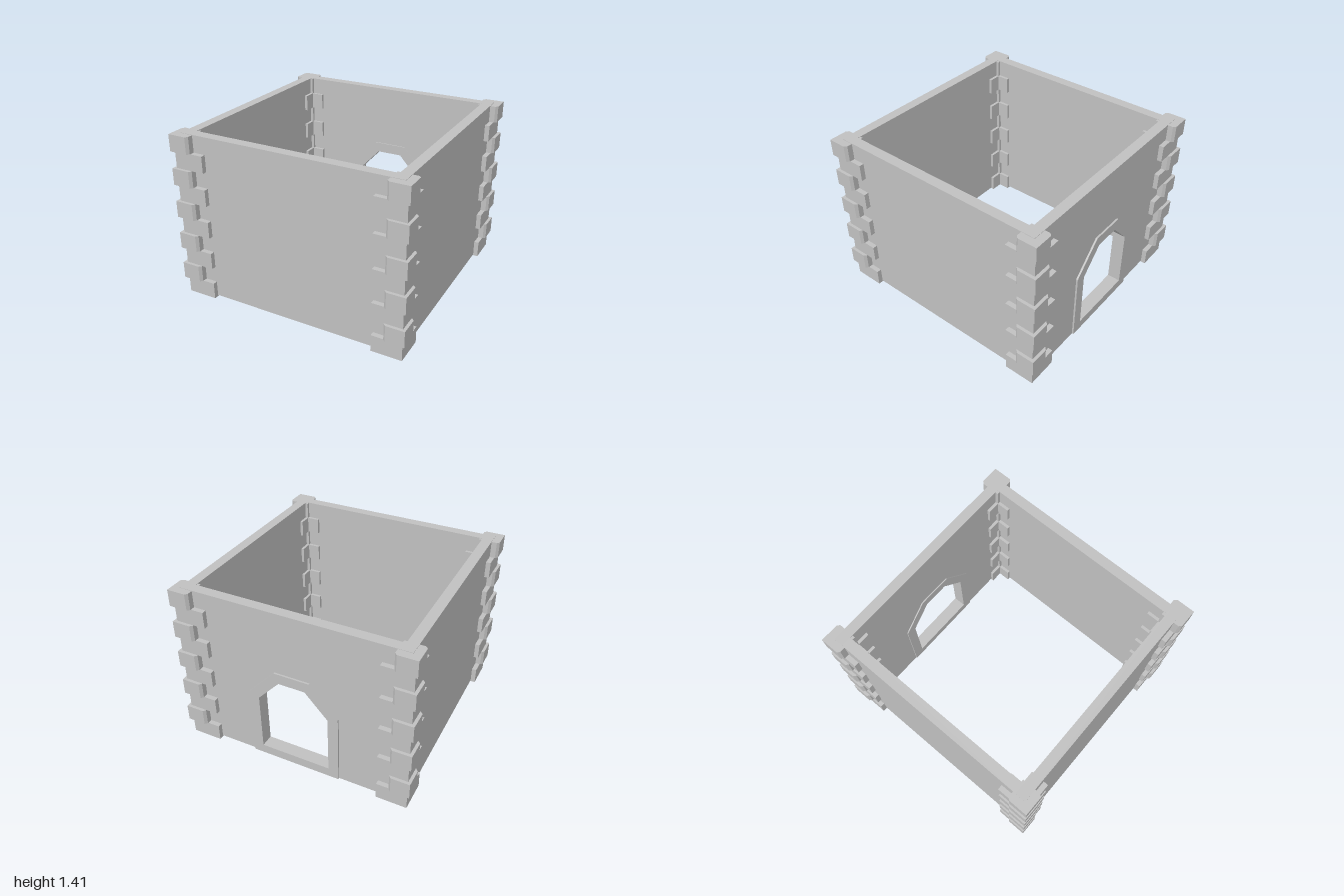
import * as THREE from 'three';

const OUT = 0.935, IN = 0.85;          // wall faces
const BASE = 0.01, TOP = 1.41;         // wall bottom and top
const COURSES = 10, COURSE = 0.1407;   // corner stone courses

const polygon = (points, Type = THREE.Shape) =>
  new Type(points.map(([x, y]) => new THREE.Vector2(x, y)));

// Mirrors the right half of an arch outline, given bottom to top
const arch = (half) => [...half, ...half.slice().reverse().map(([x, y]) => [-x, y])];

export function createModel() {
  const model = new THREE.Group();
  model.name = 'stoneRoom';
  const stone = new THREE.MeshStandardMaterial({ color: 0xc0c0c0 });
  stone.name = 'greyStone';

  const add = (name, geometry, parent = model) => {
    const mesh = new THREE.Mesh(geometry, stone);
    mesh.name = name;
    parent.add(mesh);
    return mesh;
  };
  const extrude = (shape, depth) =>
    new THREE.ExtrudeGeometry(shape, { depth, bevelEnabled: false });

  // Plain walls
  const height = TOP - BASE, thick = OUT - IN, mid = (OUT + IN) / 2, midY = (TOP + BASE) / 2;
  add('frontWall', new THREE.BoxGeometry(2 * OUT, height, thick)).position.set(0, midY, mid);
  for (const s of [1, -1]) {
    add(s > 0 ? 'leftWall' : 'rightWall', new THREE.BoxGeometry(thick, height, 2 * IN))
      .position.set(s * mid, midY, 0);
  }

  // Back wall with the doorway cut out
  const wall = polygon([[-OUT, BASE], [OUT, BASE], [OUT, TOP], [-OUT, TOP]]);
  wall.holes.push(polygon(arch([[0.34, 0.05], [0.34, 0.61], [0.13, 0.835]]), THREE.Path));
  add('backWall', extrude(wall, thick)).position.z = -OUT;

  // Door frame, standing slightly proud on both sides
  const frame = polygon(arch([[0.387, 0.01], [0.387, 0.625], [0.15, 0.88]]));
  frame.holes.push(polygon(arch([[0.3, 0.09], [0.3, 0.59], [0.112, 0.793]]), THREE.Path));
  add('doorFrame', extrude(frame, 0.11)).position.z = -0.95;

  // Corner stones: L-shaped and chamfered square blocks in alternate courses
  const angleStone = extrude(polygon([
    [0.72, 0.825], [0.825, 0.825], [0.825, 0.72],
    [0.975, 0.72], [0.975, 0.975], [0.72, 0.975],
  ]), COURSE).rotateX(-Math.PI / 2);
  const squareStone = extrude(polygon([
    [0.825, 0.825], [0.98, 0.825], [1, 0.845],
    [1, 1], [0.845, 1], [0.825, 0.98],
  ]), COURSE).rotateX(-Math.PI / 2);

  for (let c = 0; c < 4; c++) {
    const corner = new THREE.Group();
    corner.name = 'cornerStones';
    corner.rotation.y = c * Math.PI / 2;
    for (let i = 0; i < COURSES; i++) {
      const square = i % 2 === 1;
      add(square ? 'squareStone' : 'angleStone', square ? squareStone : angleStone, corner)
        .position.y = i * COURSE;
    }
    model.add(corner);
  }
  return model;
}
